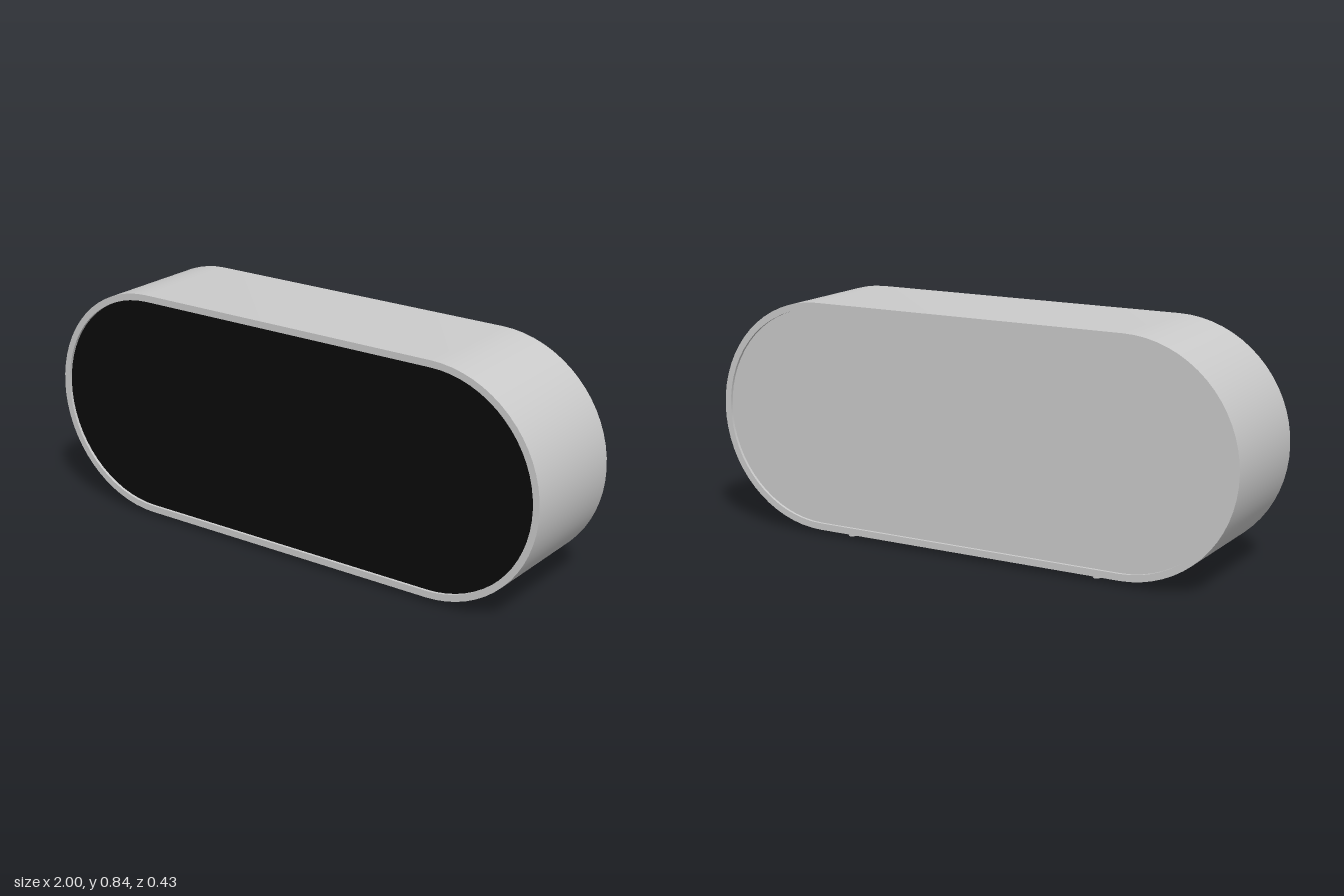
import * as THREE from 'three';
import { toCreasedNormals } from 'three/addons/utils/BufferGeometryUtils.js';

const CENTER_Y = 0.428, HALF_STRAIGHT = 0.59, DEPTH = 0.434;

// Stadium outline: two half circles joined by straight edges
function stadium(half, radius, Type = THREE.Shape) {
  const s = new Type();
  s.absarc(half, 0, radius, -Math.PI / 2, Math.PI / 2, false);
  s.absarc(-half, 0, radius, Math.PI / 2, Math.PI * 1.5, false);
  s.closePath();
  return s;
}

// Extrusion centred on z, smooth around the curves and sharp at the rims
function slab(shape, depth, curveSegments = 16) {
  const g = new THREE.ExtrudeGeometry(shape, { depth, curveSegments, bevelEnabled: false });
  g.translate(0, 0, -depth / 2);
  return toCreasedNormals(g, Math.PI / 6);
}

export function createModel() {
  const model = new THREE.Group();
  const grey = new THREE.MeshStandardMaterial({ color: 0xcccccc });
  const black = new THREE.MeshStandardMaterial({ color: 0x0a0a0a });

  const add = (name, geometry, material, x, y, z) => {
    const mesh = new THREE.Mesh(geometry, material);
    mesh.name = name;
    mesh.position.set(x, y, z);
    model.add(mesh);
    return mesh;
  };

  // Hollow outer band
  const ring = stadium(HALF_STRAIGHT, 0.41);
  ring.holes.push(stadium(HALF_STRAIGHT, 0.386, THREE.Path));
  add('shell', slab(ring, DEPTH), grey, 0, CENTER_Y, 0);

  // Recessed front and back panels
  const panel = slab(stadium(HALF_STRAIGHT, 0.386), 0.02);
  add('frontPanel', panel, black, 0, CENTER_Y, DEPTH / 2 - 0.02);
  add('backPanel', panel, grey, 0, CENTER_Y, -DEPTH / 2 + 0.02);

  // Two slim round-ended runners underneath
  const runner = slab(stadium(0.171, 0.0125), 0.02, 6);
  runner.rotateX(Math.PI / 2).rotateY(Math.PI / 2);
  for (const side of [-1, 1]) {
    add(side < 0 ? 'rightFoot' : 'leftFoot', runner, grey, side * 0.487, 0.01, 0);
  }
  return model;
}
